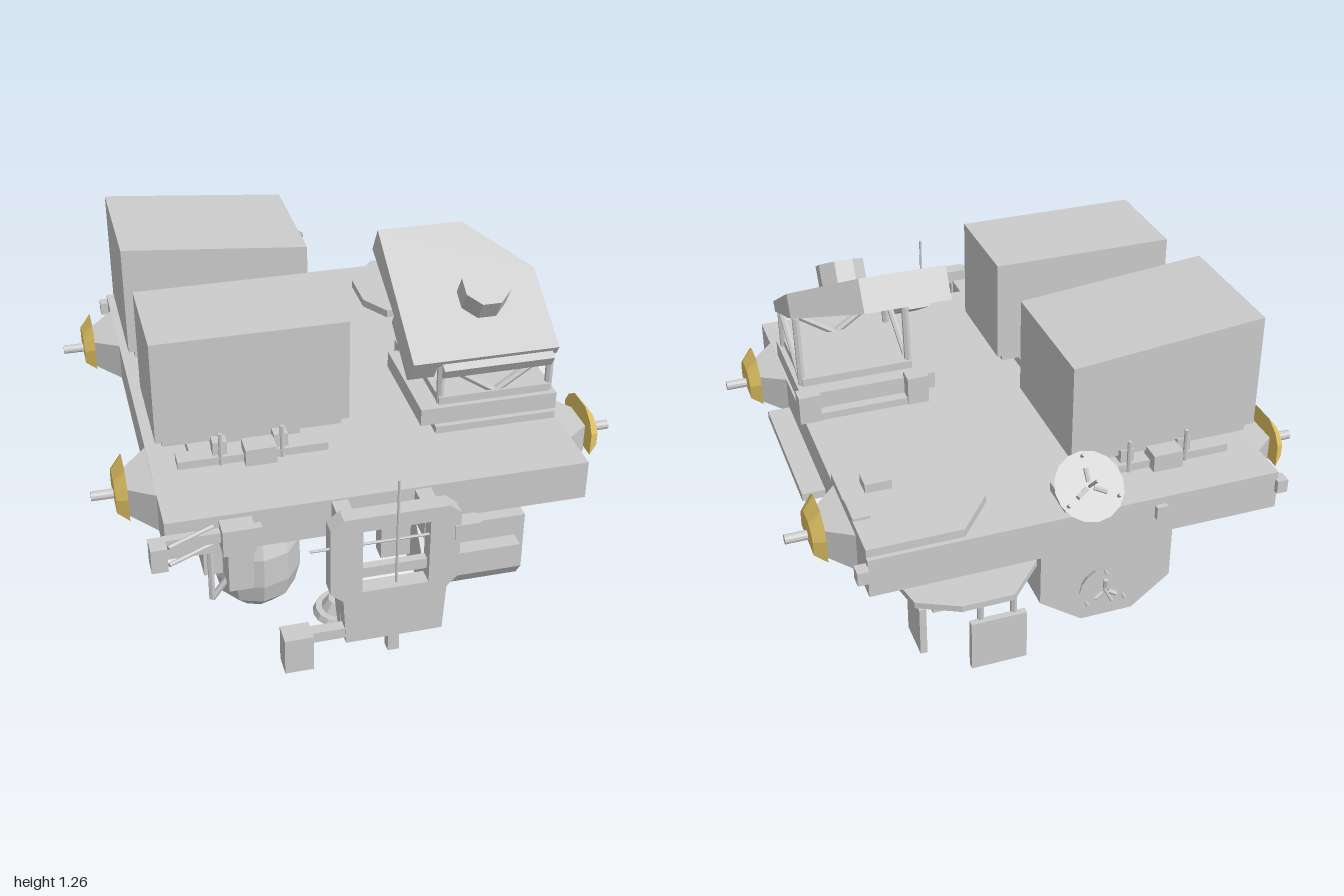
import * as THREE from 'three';

const grey = new THREE.MeshStandardMaterial({ color: 0xcccccc, flatShading: true });
const gold = new THREE.MeshStandardMaterial({ color: 0xe6c766, flatShading: true });

function add(parent, name, geo, mat = grey) {
  const m = new THREE.Mesh(geo, mat);
  m.name = name;
  parent.add(m);
  return m;
}
// Box given by its extents
function box(p, name, x0, x1, y0, y1, z0, z1) {
  const g = new THREE.BoxGeometry(x1 - x0, y1 - y0, z1 - z0);
  g.translate((x0 + x1) / 2, (y0 + y1) / 2, (z0 + z1) / 2);
  return add(p, name, g);
}
function extrude(pts, depth) {
  const s = new THREE.Shape(pts.map(a => new THREE.Vector2(a[0], a[1])));
  return new THREE.ExtrudeGeometry(s, { depth, bevelEnabled: false });
}
// Horizontal plate from an x-z outline, hanging down from yTop
function slab(p, name, pts, yTop, thick) {
  const g = extrude(pts, thick).rotateX(Math.PI / 2).translate(0, yTop, 0);
  return add(p, name, g);
}
// Round bar between two points
function bar(p, name, a, b, r = 0.012, sides = 6) {
  const A = new THREE.Vector3(...a), B = new THREE.Vector3(...b);
  const m = add(p, name, new THREE.CylinderGeometry(r, r, A.distanceTo(B), sides));
  m.position.copy(A).add(B).multiplyScalar(0.5);
  m.quaternion.setFromUnitVectors(new THREE.Vector3(0, 1, 0), B.sub(A).normalize());
  return m;
}
// Move vertices by a rule
function bend(geo, rule) {
  const a = geo.attributes.position, v = new THREE.Vector3();
  for (let i = 0; i < a.count; i++) {
    rule(v.fromBufferAttribute(a, i));
    a.setXYZ(i, v.x, v.y, v.z);
  }
  geo.computeVertexNormals();
  return geo;
}
// Round grapple fixture facing local +y
function fixture(p, name, r, pos, normal) {
  const g = new THREE.Group();
  g.name = name;
  add(g, 'fixturePlate', new THREE.CylinderGeometry(r, r * 0.9, 0.022, 16));
  add(g, 'fixtureHub', new THREE.CylinderGeometry(r * 0.7, r * 0.45, 0.035, 12)).position.y = -0.028;
  bar(g, 'grapplePin', [0, 0, 0], [0, r * 0.85, 0], 0.006);
  for (let i = 0; i < 3; i++) {
    const t = i * Math.PI * 2 / 3 + Math.PI / 2, c = Math.cos(t), s = Math.sin(t);
    bar(g, 'guideArm', [c * r * 0.12, 0.015, s * r * 0.12], [c * r * 0.5, 0.02, s * r * 0.5], 0.009);
    bar(g, 'guidePost', [c * r * 0.85, 0, s * r * 0.85], [c * r * 0.85, 0.035, s * r * 0.85], 0.006);
  }
  g.position.set(...pos);
  g.quaternion.setFromUnitVectors(new THREE.Vector3(0, 1, 0), new THREE.Vector3(...normal).normalize());
  p.add(g);
}

export function createModel() {
  const root = new THREE.Group();
  root.name = 'cargoPallet';
  box(root, 'deck', -0.74, 0.74, 0.54, 0.687, -0.857, 0.79);

  // Side trunnions with gold scuff plates
  for (const s of [-1, 1]) for (const z of [-0.563, 0.476]) {
    const t = new THREE.Group();
    t.name = 'trunnion';
    add(t, 'trunnionBase', bend(new THREE.BoxGeometry(0.1, 0.147, 0.31), v => {
      if (v.x > 0) { v.z *= 0.4; v.y *= 0.72; }
      v.x += 0.785; v.y += 0.6135;
    }));
    const dome = [[-0.125, -0.035], [0.125, -0.035], [0.125, 0.05], [0.1, 0.09], [0.05, 0.123],
      [-0.05, 0.123], [-0.1, 0.09], [-0.125, 0.05]];
    add(t, 'scuffPlate', bend(extrude(dome, 0.04).rotateY(Math.PI / 2), v => {
      if (v.x > 0.02) { v.z *= 0.72; v.y *= 0.6; }
      v.x += 0.832; v.y += 0.615;
    }), gold);
    bar(t, 'trunnionPin', [0.84, 0.615, 0], [0.95, 0.615, 0], 0.017, 12);
    t.position.z = z;
    if (s < 0) t.rotation.y = Math.PI;
    root.add(t);
  }

  // Large boxes on the deck with their mounting adapters
  const tall = box(root, 'rearCargoBox', -0.725, -0.03, 0.785, 1.21, -0.68, -0.18);
  bend(tall.geometry, v => { if (v.y > 1 && v.x > -0.3) v.y = 1.145; });
  box(root, 'rearCargoBase', -0.7, -0.055, 0.75, 0.785, -0.66, -0.2);
  box(root, 'frontCargoBox', -0.715, -0.03, 0.78, 1.165, 0.066, 0.455);
  box(root, 'frontCargoBase', -0.69, -0.055, 0.75, 0.78, 0.085, 0.435);
  for (const [z, d] of [[-0.43, -1], [0.25, 1]]) {
    const a = new THREE.Group();
    a.name = 'cargoAdapter';
    box(a, 'adapterPlate', -0.6, -0.14, 0.68, 0.722, -0.22, 0.24);
    box(a, 'adapterBlock', -0.52, -0.2, 0.72, 0.755, -0.17, 0.17);
    box(a, 'adapterRail', -0.65, -0.12, 0.7, 0.73, 0.2, 0.265);
    box(a, 'adapterLatch', -0.42, -0.31, 0.7, 0.765, 0.22, 0.3);
    for (const x of [-0.5, -0.285]) {
      box(a, 'clampFoot', x - 0.025, x + 0.025, 0.7, 0.78, 0.2, 0.25);
      bar(a, 'clampPin', [x, 0.7, 0.265], [x, 0.825, 0.265], 0.008);
    }
    a.position.z = z;
    // mirrored around the adapter's own centre for the rear box
    if (d < 0) { a.rotation.y = Math.PI; a.position.x = -0.74; }
    root.add(a);
  }
  slab(root, 'adapterTongue', [[-0.53, 0.07], [-0.46, 0.03], [-0.3, 0.03], [-0.23, 0.07]], 0.75, 0.06);

  // Tilted instrument head on a truss stand
  const head = new THREE.Group();
  head.name = 'instrumentHead';
  const panel = slab(head, 'headPanel', [[0.2, 0], [0.52, 0], [0.74, 0.23], [0.74, 0.57], [0.2, 0.57]], 0, 0.125);
  bend(panel.geometry, v => { if (v.y < -0.06) v.y += 0.085 * v.z / 0.57; });
  box(head, 'headSideBox', 0.2, 0.3, -0.125, -0.02, 0.32, 0.56);
  box(head, 'headFrontRail', 0.31, 0.72, -0.07, -0.02, 0.55, 0.6);
  add(head, 'sensorDrum', new THREE.CylinderGeometry(0.09, 0.09, 0.11, 8).rotateY(Math.PI / 8)).position.set(0.51, 0.035, 0.33);
  head.position.set(0, 1.257, -0.03);
  head.rotation.x = 0.545;
  root.add(head);
  box(root, 'standPlate', 0.28, 0.73, 0.68, 0.715, 0.0, 0.49);
  box(root, 'standBase', 0.23, 0.74, 0.715, 0.78, 0.04, 0.47);
  box(root, 'standTop', 0.3, 0.72, 0.78, 0.81, 0.1, 0.45);
  box(root, 'standCrossbar', 0.32, 0.71, 0.93, 0.965, 0.4, 0.44);
  for (const x of [0.31, 0.72]) {
    bar(root, 'standPost', [x, 0.78, 0.43], [x, 0.96, 0.43], 0.014);
    bar(root, 'standBrace', [x, 0.94, 0.43], [0.515, 0.8, 0.43], 0.014);
    bar(root, 'standRearPost', [x, 0.78, 0.12], [x, 1.05, 0.14], 0.014);
    bar(root, 'standDiagonal', [x, 0.94, 0.42], [x, 0.8, 0.14], 0.012);
    box(root, 'standClamp', x - 0.04, x + 0.04, 0.69, 0.8, -0.01, 0.05);
  }

  // Rear deck plate
  slab(root, 'deckPlate', [[0.405, -0.84], [0.74, -0.84], [0.74, -0.385], [0.35, -0.385], [0.28, -0.5], [0.28, -0.685]], 0.718, 0.035);
  box(root, 'deckPlateBox', 0.565, 0.66, 0.71, 0.752, -0.54, -0.47);
  box(root, 'deckPlateTab', 0.68, 0.74, 0.71, 0.728, -0.68, -0.56);
  for (const x of [-0.75, -0.29, 0.76]) box(root, 'edgeFitting', x - 0.02, x + 0.02, 0.61, 0.66, -0.877, -0.83);
  box(root, 'sideShelf', 0.74, 0.825, 0.54, 0.57, -0.27, 0.31);

  // Tilted fixture on a rear mast
  fixture(root, 'rearFixture', 0.12, [0, 0.83, -0.9], [0, 0.72, -0.7]);
  for (const x of [-0.035, 0.035]) bar(root, 'mastStrut', [x, 0.68, -0.74], [x, 0.82, -0.87], 0.012);
  box(root, 'mastFoot', -0.05, 0.05, 0.68, 0.72, -0.83, -0.69);

  // Large keel box under the deck, running front to back
  const keel = extrude([[0.045, 0.475], [0.045, 0.12], [-0.12, 0], [-0.325, 0], [-0.475, 0.12], [-0.475, 0.475]], 0.655);
  add(root, 'keelBox', keel.translate(0, 0, -0.61));
  box(root, 'keelAdapter', -0.4, -0.03, 0.5, 0.54, -0.5, -0.06);
  box(root, 'keelNeck', -0.3, -0.12, 0.47, 0.5, -0.34, -0.2);
  fixture(root, 'keelFixture', 0.1, [-0.2, 0.14, -0.625], [0, 0, -1]);

  // Layered plates and hanging panels under the rear corner
  const rear = [[0.16, -0.86], [0.29, -1], [0.47, -1], [0.61, -0.93], [0.68, -0.6], [0.55, -0.44], [0.28, -0.44], [0.16, -0.6]];
  slab(root, 'lowerPlate', rear, 0.538, 0.023);
  slab(root, 'lowerPlateInner', rear.map(([x, z]) => [0.41 + (x - 0.41) * 0.72, -0.74 + (z + 0.74) * 0.68]), 0.515, 0.03);
  box(root, 'lowerPlateBlock', 0.3, 0.54, 0.45, 0.49, -0.9, -0.62);
  box(root, 'hangingPanelRear', 0.2, 0.4, 0.145, 0.34, -0.88, -0.855);
  box(root, 'hangingPanelSide', 0.52, 0.545, 0.145, 0.34, -0.75, -0.6);
  for (const x of [0.24, 0.36]) bar(root, 'panelHanger', [x, 0.3, -0.855], [x, 0.5, -0.855]);
  for (const z of [-0.64, -0.71]) bar(root, 'panelHanger', [0.52, 0.3, z], [0.52, 0.5, z]);

  // Box under the front corner, with notched lower edge
  const crate = extrude([[0.18, 0.385], [0.64, 0.385], [0.64, 0.15], [0.6, 0.09], [0.18, 0.09]], 0.37);
  add(root, 'lowerCrate', crate.rotateY(-Math.PI / 2).translate(0.585, 0, 0));
  for (const z of [0.2, 0.34, 0.5]) box(root, 'crateLatch', 0.58, 0.6, 0.2, 0.33, z, z + 0.03);
  box(root, 'crateCap', 0.25, 0.55, 0.2, 0.3, 0.63, 0.7);
  box(root, 'reachArm', 0.5, 0.57, 0.19, 0.28, -0.22, 0.2);
  box(root, 'reachArmFoot', 0.5, 0.57, 0.11, 0.28, -0.275, -0.22);

  // Mounting adapters below the deck, one each side
  for (const s of [-1, 1]) {
    const m = s > 0 ? 0.42 : -0.42;
    box(root, 'underPlate', m - 0.2, m + 0.2, 0.5, 0.54, 0.17, 0.64);
    box(root, 'underBlock', m - 0.13, m + 0.13, 0.47, 0.5, 0.22, 0.58);
    for (const z of [0.22, 0.5]) {
      box(root, 'underClamp', m + s * 0.17 - 0.03, m + s * 0.17 + 0.03, 0.42, 0.52, z, z + 0.08);
      for (const x of [-0.12, 0.12]) bar(root, 'underPost', [m + x, 0.36, z + 0.04], [m + x, 0.5, z + 0.04], 0.016);
    }
  }

  // Faceted round tank below the left front
  const profile = [[0, 0.02], [0.08, 0.025], [0.145, 0.09], [0.165, 0.17], [0.165, 0.29], [0.13, 0.38], [0.07, 0.43], [0, 0.435]];
  const tank = add(root, 'roundTank', new THREE.LatheGeometry(profile.map(a => new THREE.Vector2(...a)), 10));
  tank.position.set(-0.37, 0, 0.4);
  box(root, 'tankNeck', -0.43, -0.31, 0.42, 0.5, 0.34, 0.46);
  for (const z of [0.25, 0.55]) {
    bar(root, 'tankStrut', [-0.56, 0.48, z], [-0.56, 0.15, z], 0.012);
    bar(root, 'tankBrace', [-0.56, 0.15, z], [-0.45, 0.3, z], 0.012);
  }
  box(root, 'tankSideBox', -0.575, -0.5, 0.2, 0.33, 0.32, 0.48);
  box(root, 'tankFrontBox', -0.51, -0.42, 0.24, 0.42, 0.52, 0.64);

  // Front frame with a window, hung on two arms
  const outline = new THREE.Shape([[-0.225, 0.43], [-0.18, 0.39], [-0.17, 0.21], [0.17, 0.21], [0.18, 0.39],
    [0.22, 0.43], [0.22, 0.69], [0.18, 0.725], [-0.18, 0.725], [-0.225, 0.69]].map(a => new THREE.Vector2(...a)));
  outline.holes.push(new THREE.Path([[-0.115, 0.42], [-0.115, 0.67], [0.115, 0.67], [0.115, 0.42]].map(a => new THREE.Vector2(...a))));
  add(root, 'frontFrame', new THREE.ExtrudeGeometry(outline, { depth: 0.06, bevelEnabled: false }).translate(0, 0, 0.905));
  box(root, 'frameMechanism', -0.05, 0.05, 0.54, 0.67, 0.89, 0.95);
  box(root, 'frameCrosspiece', -0.12, 0.12, 0.46, 0.5, 0.91, 0.94);
  box(root, 'frameKeelPin', -0.02, 0.02, 0.14, 0.22, 0.92, 0.96);
  bar(root, 'frameRod', [0, 0.45, 0.972], [0, 0.86, 0.972], 0.005);
  bar(root, 'frameCrossRod', [-0.29, 0.61, 0.95], [0.3, 0.61, 0.95], 0.005);
  for (const x of [-0.15, 0.14]) {
    box(root, 'frameArm', x - 0.028, x + 0.028, 0.56, 0.68, 0.78, 0.91);
    const brace = extrude([[0.7, 0.54], [0.8, 0.56], [0.905, 0.44], [0.91, 0.21], [0.86, 0.23]], 0.05);
    add(root, 'frameBrace', brace.rotateY(-Math.PI / 2).translate(x + 0.025, 0, 0));
  }
  box(root, 'frameSideBox', -0.39, -0.29, 0.15, 0.29, 0.92, 1.0);
  box(root, 'frameSideLink', -0.3, -0.16, 0.23, 0.27, 0.92, 0.96);
  box(root, 'frameEndBlock', 0.2, 0.29, 0.58, 0.64, 0.91, 0.97);
  fixture(root, 'lowerFixture', 0.1, [-0.14, 0.21, 0.78], [0, -1, 0]);
  bar(root, 'lowerFixtureMast', [-0.14, 0.2, 0.78], [-0.14, 0.54, 0.7], 0.018);

  // Connector bracket at the left front edge
  box(root, 'bracketBox', -0.56, -0.45, 0.57, 0.67, 0.79, 0.86);
  box(root, 'bracketEnd', -0.8, -0.745, 0.57, 0.66, 0.82, 0.89);
  box(root, 'bracketRail', -0.75, -0.42, 0.6, 0.64, 0.79, 0.82);
  for (const y of [0.58, 0.65]) bar(root, 'bracketStrut', [-0.74, y, 0.87], [-0.58, y, 0.79], 0.008);

  return root;
}
